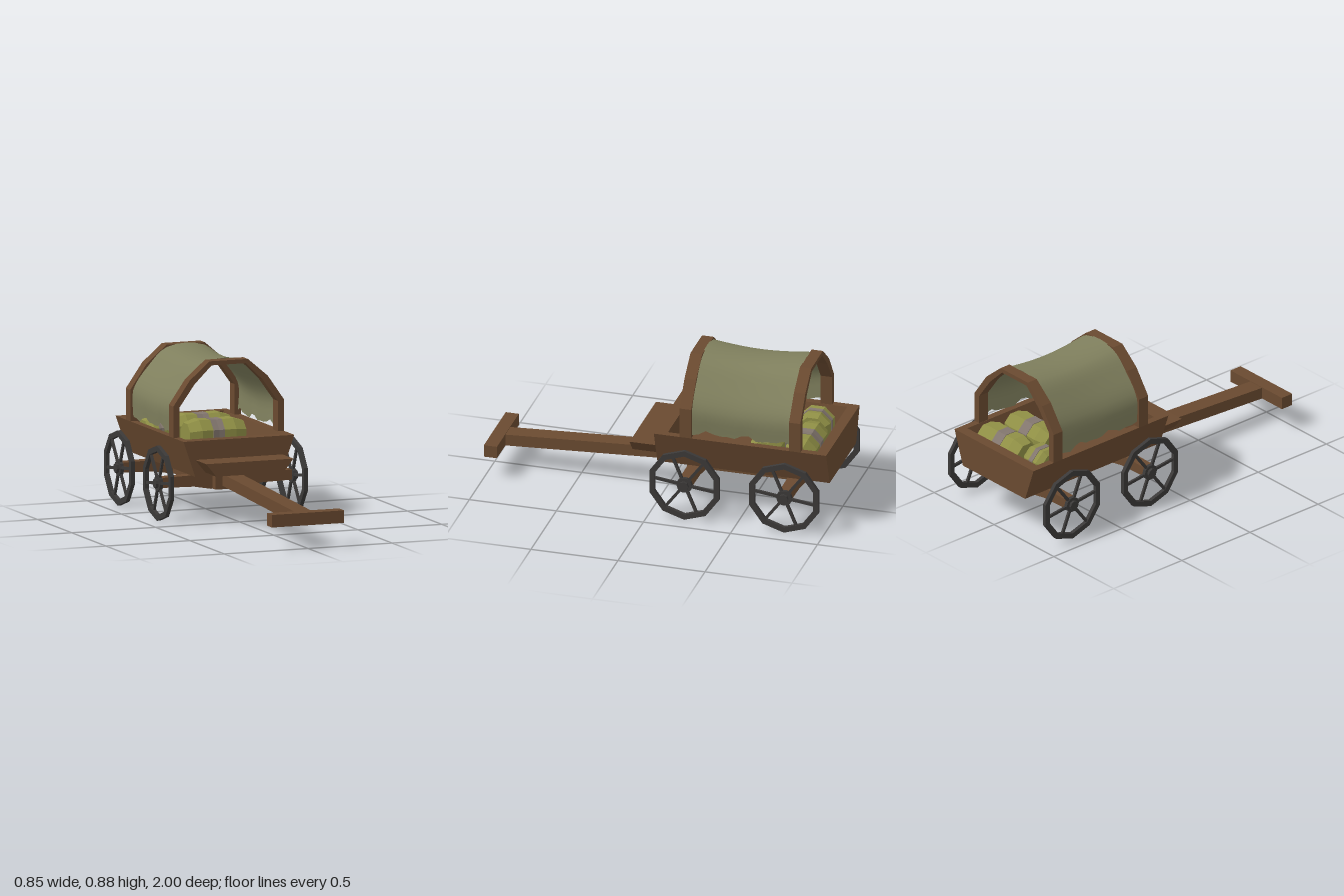
import * as THREE from 'three';

const mat = (color, extra = {}) => new THREE.MeshStandardMaterial({ color, ...extra });
const wood = mat(0x6a4a30, { flatShading: true });
const iron = mat(0x3b3938, { flatShading: true });
const sackCloth = mat(0x8f8f45, { flatShading: true });
const strap = mat(0x82766e, { flatShading: true });
const canvasCloth = mat(0x7f7f5d, { side: THREE.DoubleSide });

function mesh(name, geometry, material, parent) {
  const m = new THREE.Mesh(geometry, material);
  m.name = name;
  parent.add(m);
  return m;
}

const shapeOf = pts => new THREE.Shape(pts.map(p => new THREE.Vector2(...p)));

// Closes the right half of an outline by mirroring it over x = 0
const mirrored = half => [...half, ...half.slice().reverse().map(([x, y]) => [-x, y])];

// Extrudes an outline in xy between two z values
function slab(pts, z0, z1) {
  const g = new THREE.ExtrudeGeometry(shapeOf(pts), { depth: z1 - z0, bevelEnabled: false });
  return g.translate(0, 0, z0);
}

function box(name, w, h, d, x, y, z, parent) {
  const m = mesh(name, new THREE.BoxGeometry(w, h, d), wood, parent);
  m.position.set(x, y, z);
  return m;
}

// Many-sided wheel with six spokes and a hub, turning about x
function makeWheel(name) {
  const wheel = new THREE.Group();
  wheel.name = name;
  const sides = 10;
  const ring = r => Array.from({ length: sides }, (_, i) => {
    const a = -Math.PI / 2 + (i / sides) * Math.PI * 2;
    return [r * Math.cos(a), r * Math.sin(a)];
  });
  const rim = shapeOf(ring(0.21));
  rim.holes.push(shapeOf(ring(0.178)));
  const rimGeo = new THREE.ExtrudeGeometry(rim, { depth: 0.022, bevelEnabled: false });
  mesh('rim', rimGeo.translate(0, 0, -0.011).rotateY(Math.PI / 2), iron, wheel);
  mesh('hub', new THREE.CylinderGeometry(0.027, 0.027, 0.05, 8).rotateZ(Math.PI / 2), iron, wheel);
  mesh('hubCollar', new THREE.CylinderGeometry(0.045, 0.045, 0.02, 10).rotateZ(Math.PI / 2), iron, wheel);
  for (let i = 0; i < 6; i++) {
    const spoke = new THREE.BoxGeometry(0.013, 0.165, 0.016).translate(0, 0.105, 0);
    mesh('spoke', spoke.rotateX(0.4 + (i * Math.PI) / 3), iron, wheel);
  }
  return wheel;
}

// Stuffed sack: octagonal cross-sections along x, with a strap about its middle
function makeSack(x0, x1, z0, z1, top) {
  const sack = new THREE.Group();
  sack.name = 'sack';
  const floor = 0.3, w = x1 - x0, h = top - floor, d = z1 - z0;
  function loft(name, stations, material) {
    const pos = [], idx = [], n = 8;
    for (const [t, s] of stations) {
      for (let k = 0; k < n; k++) {
        const a = ((k + 0.5) / n) * Math.PI * 2;
        const c = Math.cos(a) * 1.08, e = Math.sin(a) * 1.08;
        pos.push(t * w, e * s * h / 2, c * s * d / 2);
      }
    }
    for (let j = 0; j < stations.length - 1; j++) {
      for (let k = 0; k < n; k++) {
        const a = j * n + k, b = j * n + (k + 1) % n;
        idx.push(a, a + n, b, b, a + n, b + n);
      }
    }
    const last = (stations.length - 1) * n;
    for (let k = 1; k < n - 1; k++) idx.push(0, k, k + 1, last, last + k + 1, last + k);
    // Reverse the winding so that faces point outward
    for (let i = 0; i < idx.length; i += 3) [idx[i + 1], idx[i + 2]] = [idx[i + 2], idx[i + 1]];
    const g = new THREE.BufferGeometry();
    g.setAttribute('position', new THREE.Float32BufferAttribute(pos, 3));
    g.setIndex(idx);
    fixWinding(g);
    g.computeVertexNormals();
    mesh(name, g, material, sack);
  }
  loft('sackBody', [[-0.5, 0.78], [-0.3, 1], [0, 0.93], [0.3, 1], [0.5, 0.78]], sackCloth);
  loft('sackStrap', [[-0.1, 0.985], [0, 0.955], [0.1, 0.985]], strap);
  sack.position.set((x0 + x1) / 2, floor + h / 2, (z0 + z1) / 2);
  return sack;
}

// Turns each face of a shape around the origin outward
function fixWinding(g) {
  const p = g.attributes.position, ix = g.index.array;
  const [a, b, c] = [0, 1, 2].map(() => new THREE.Vector3());
  for (let i = 0; i < ix.length; i += 3) {
    [a, b, c].forEach((v, k) => v.fromBufferAttribute(p, ix[i + k]));
    const mid = a.clone().add(b).add(c);
    const normal = b.clone().sub(a).cross(c.clone().sub(a));
    if (normal.dot(mid) < 0) [ix[i + 1], ix[i + 2]] = [ix[i + 2], ix[i + 1]];
  }
}

// Cloth over the hoops, sagging between them, with a ragged lower edge
function makeCanvas() {
  const half = [[0.312, 0.49], [0.312, 0.64], [0.222, 0.77], [0.11, 0.868]];
  const curve = new THREE.CatmullRomCurve3(
    mirrored(half).map(([x, y]) => new THREE.Vector3(x, y, 0)), false, 'centripetal');
  const nu = 28, nv = 14;
  const g = new THREE.PlaneGeometry(1, 1, nu, nv);
  const p = g.attributes.position;
  for (let i = 0; i < p.count; i++) {
    const u = p.getX(i) + 0.5, v = p.getY(i) + 0.5;
    const c = curve.getPoint(u);
    const sag = Math.sin(v * Math.PI);
    const hem = Math.pow(Math.abs(2 * u - 1), 8);
    const wave = 0.012 * Math.sin(v * 17 + u * 3) + 0.008 * Math.sin(v * 31);
    p.setXYZ(i, c.x * (1 - 0.05 * sag), c.y - 0.02 * sag * (1 - hem) + wave * hem, -0.79 + v * 0.57);
  }
  g.computeVertexNormals();
  return g;
}

export function createModel() {
  const wagon = new THREE.Group();
  wagon.name = 'coveredWagon';

  // Open wagon bed with flared sides
  const bed = new THREE.Group();
  bed.name = 'bed';
  wagon.add(bed);
  const trough = [[0.26, 0.265], [0.33, 0.465], [0.29, 0.465], [0.235, 0.3]];
  mesh('sidesAndFloor', slab(mirrored(trough), -0.94, -0.08), wood, bed);
  const board = mirrored([[0.26, 0.265], [0.33, 0.465]]);
  mesh('frontBoard', slab(board, -0.08, -0.01), wood, bed);
  mesh('backBoard', slab(board, -1, -0.94), wood, bed);
  mesh('footboard', slab(mirrored([[0.2, 0.287], [0.26, 0.36]]), -0.01, 0.15), wood, bed);

  // Hoops and cover
  const hoop = mirrored([[0.33, 0.465], [0.33, 0.64], [0.232, 0.78], [0.114, 0.88]])
    .concat(mirrored([[-0.292, 0.465], [-0.292, 0.635], [-0.203, 0.758], [-0.102, 0.857]]));
  mesh('frontHoop', slab(hoop, -0.225, -0.158), wood, wagon);
  mesh('backHoop', slab(hoop, -0.852, -0.787), wood, wagon);
  mesh('canvasCover', makeCanvas(), canvasCloth, wagon);

  // Load
  wagon.add(makeSack(-0.07, 0.265, -0.91, -0.73, 0.485));
  wagon.add(makeSack(-0.07, 0.265, -0.71, -0.53, 0.483));
  wagon.add(makeSack(-0.25, -0.1, -0.89, -0.7, 0.485));

  // Axles and wheels
  const axle = mirrored([[0.1, 0.165], [0.2, 0.183], [0.385, 0.187], [0.385, 0.243], [0.2, 0.247], [0.08, 0.268]]);
  for (const [name, z] of [['front', -0.207], ['back', -0.78]]) {
    mesh(name + 'Axle', slab(axle, z - 0.032, z + 0.032), wood, wagon);
    for (const side of [1, -1]) {
      const wheel = makeWheel(name + (side > 0 ? 'Left' : 'Right') + 'Wheel');
      wheel.position.set(side * 0.398, 0.21, z);
      wagon.add(wheel);
    }
  }
  box('undercarriageBeam', 0.18, 0.1, 0.72, 0, 0.216, -0.49, wagon);

  // Pulling shaft with crossbar
  const shaft = box('shaft', 0.1, 0.066, 1.14, 0, 0.193, 0.37, wagon);
  shaft.rotation.x = 0.052;
  box('shaftCrossbar', 0.43, 0.07, 0.075, 0, 0.165, 0.9625, wagon);

  return wagon;
}
